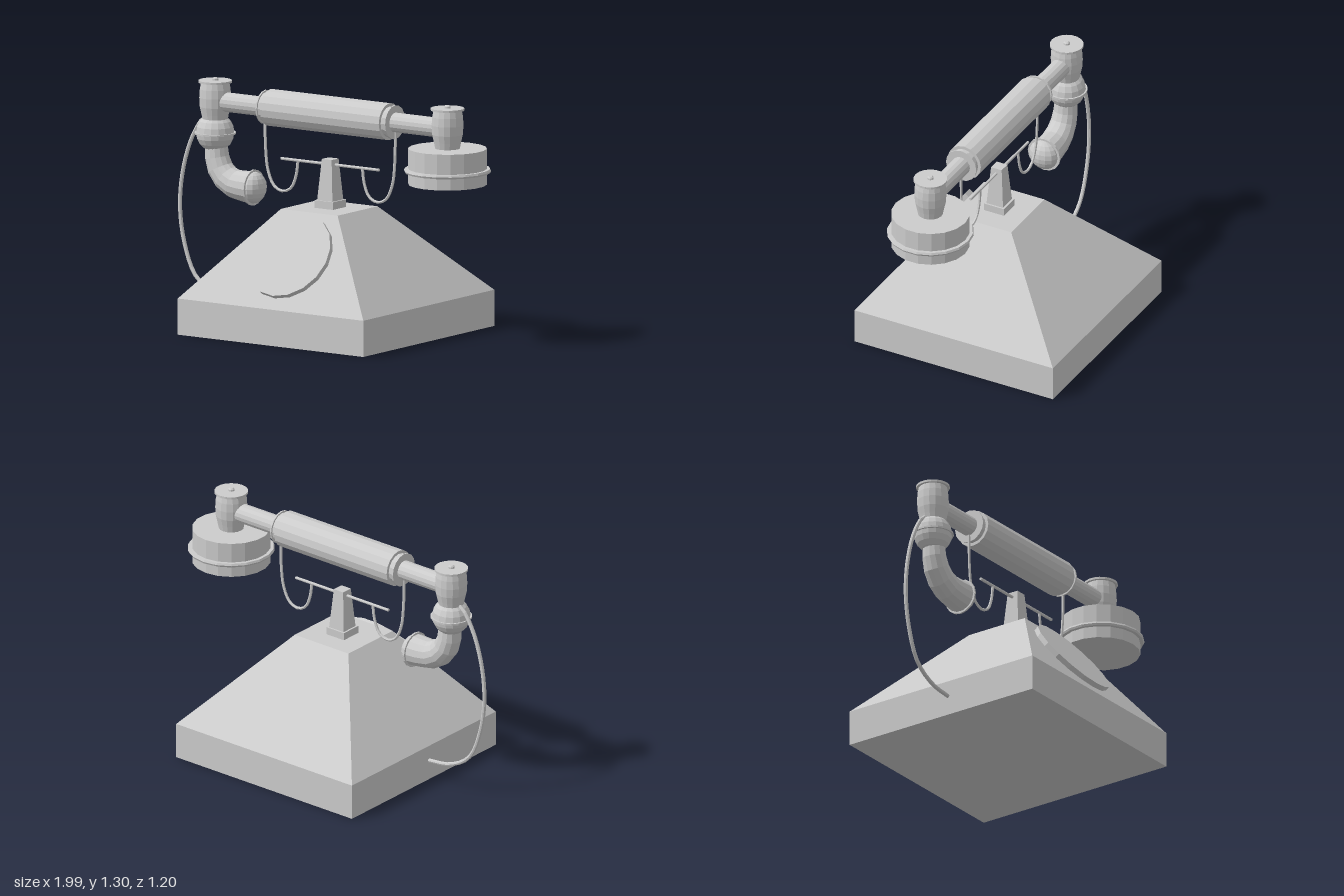
import * as THREE from 'three';

const Z = 0.053; // depth of the handset axis
const AXIS_Y = 1.17; // height of the handset axis

export function createModel() {
  const model = new THREE.Group();
  const grey = new THREE.MeshStandardMaterial({ color: 0xcccccc, flatShading: true });

  const add = (name, geometry, x = 0, y = 0, z = 0, parent = model) => {
    const mesh = new THREE.Mesh(geometry, grey);
    mesh.name = name;
    mesh.position.set(x, y, z);
    parent.add(mesh);
    return mesh;
  };
  const disc = (r, h, n = 18) => new THREE.CylinderGeometry(r, r, h, n);
  const rod = (r, length, n = 16) => disc(r, length, n).rotateZ(Math.PI / 2);
  const lathe = (points, n = 16) => new THREE.LatheGeometry(points.map(p => new THREE.Vector2(...p)), n);
  const curve = points => new THREE.CatmullRomCurve3(points.map(p => new THREE.Vector3(p[0], p[1], 0)));

  // Box whose top face is replaced by the rectangle x0..x1, z0..z1
  const taperedBox = (w, h, d, x0, x1, z0, z1) => {
    const g = new THREE.BoxGeometry(w, h, d).translate(0, h / 2, 0);
    const p = g.attributes.position;
    for (let i = 0; i < p.count; i++) {
      if (p.getY(i) < h / 2) continue;
      p.setX(i, p.getX(i) < 0 ? x0 : x1);
      p.setZ(i, p.getZ(i) < 0 ? z0 : z1);
    }
    g.computeVertexNormals();
    return g;
  };

  // Tube whose radius grows from r0 to r1 along the path
  const growingTube = (path, steps, r0, r1, sides) => {
    const g = new THREE.TubeGeometry(path, steps, 1, sides);
    const p = g.attributes.position, v = new THREE.Vector3();
    for (let i = 0; i < p.count; i++) {
      const t = Math.floor(i / (sides + 1)) / steps;
      const c = path.getPointAt(t);
      v.fromBufferAttribute(p, i).sub(c).multiplyScalar(r0 + (r1 - r0) * t).add(c);
      p.setXYZ(i, v.x, v.y, v.z);
    }
    g.computeVertexNormals();
    return g;
  };

  // Base and sloping body
  add('base', new THREE.BoxGeometry(1.21, 0.195, 1.2), 0, 0.0975, 0);
  add('body', taperedBox(1.21, 0.475, 1.2, -0.185, 0.185, -0.12, 0.245), 0, 0.195, 0);

  // Dial lying on the front slope
  const dial = add('dial', disc(0.25, 0.036, 17), 0, 0.456, 0.417);
  dial.rotation.x = Math.atan2(0.475, 0.355);

  // Cradle
  add('cradleFoot', new THREE.BoxGeometry(0.12, 0.042, 0.12), 0, 0.69, Z);
  add('cradlePost', taperedBox(0.1, 0.222, 0.1, -0.032, 0.032, -0.032, 0.032), 0, 0.71, Z);
  add('cradleBar', rod(0.008, 0.64, 8), 0, 0.902, Z);

  // Handset grip with collars, and wire loops hanging from them
  const handset = new THREE.Group();
  handset.name = 'handset';
  handset.position.z = Z;
  model.add(handset);
  add('rod', rod(0.053, 1.44), 0, AXIS_Y, 0, handset);
  add('grip', rod(0.1, 0.775), 0, AXIS_Y, 0, handset);
  const loop = [[0.425, 1.13], [0.421, 0.95], [0.405, 0.83], [0.365, 0.75], [0.31, 0.727],
    [0.255, 0.75], [0.222, 0.82], [0.21, 0.902]];
  for (const s of [-1, 1]) {
    add('collar', rod(0.083, 0.04), s * 0.4, AXIS_Y, 0, handset);
    add('collarRim', rod(0.092, 0.009), s * 0.419, AXIS_Y, 0, handset);
    add('wireLoop', new THREE.TubeGeometry(curve(loop.map(([x, y]) => [s * x, y])), 24, 0.008, 6), 0, 0, 0, handset);
  }

  // Barrel, cap and knob at both ends
  for (const x of [-0.75, 0.765]) {
    add('barrel', lathe([[0, 1.06], [0.066, 1.06], [0.074, 1.1], [0.083, 1.14], [0.086, 1.19],
      [0.083, 1.235], [0.076, 1.27], [0, 1.27]]), x, 0, 0, handset);
    add('cap', disc(0.09, 0.012), x, 1.275, 0, handset);
    add('knob', lathe([[0.018, 1.28], [0.017, 1.29], [0.01, 1.296], [0, 1.296]], 10), x, 0, 0, handset);
  }

  // Earpiece
  add('earpiece', disc(0.21, 0.193), 0.765, 0.968, 0, handset);
  add('earpieceRim', lathe([[0.2, 0.935], [0.228, 0.935], [0.233, 0.945], [0.228, 0.956], [0.2, 0.956]], 18),
    0.765, 0, 0, handset);

  // Mouthpiece: ball joint, elbow and domed end
  add('ballJoint', new THREE.SphereGeometry(0.103, 16, 10), -0.75, 1.0, 0, handset);
  add('ballRing', disc(0.111, 0.01), -0.75, 0.997, 0, handset);
  const elbow = curve([[-0.742, 0.93], [-0.735, 0.86], [-0.7, 0.785], [-0.625, 0.737], [-0.5, 0.727]]);
  add('elbow', growingTube(elbow, 6, 0.06, 0.087, 14), 0, 0, 0, handset);
  add('mouthRing', rod(0.097, 0.01), -0.5, 0.727, 0, handset);
  add('mouthDome', new THREE.SphereGeometry(0.085, 14, 10).scale(0.76, 1, 1), -0.5, 0.727, 0, handset);

  // Cord from the mouthpiece end down into the base
  const cord = curve([[-0.77, 1.09], [-0.83, 1.07], [-0.9, 0.97], [-0.96, 0.8], [-0.985, 0.59],
    [-0.955, 0.38], [-0.88, 0.21], [-0.75, 0.13], [-0.59, 0.108]]);
  add('cord', new THREE.TubeGeometry(cord, 28, 0.011, 8), 0, 0, 0.045);

  return model;
}
